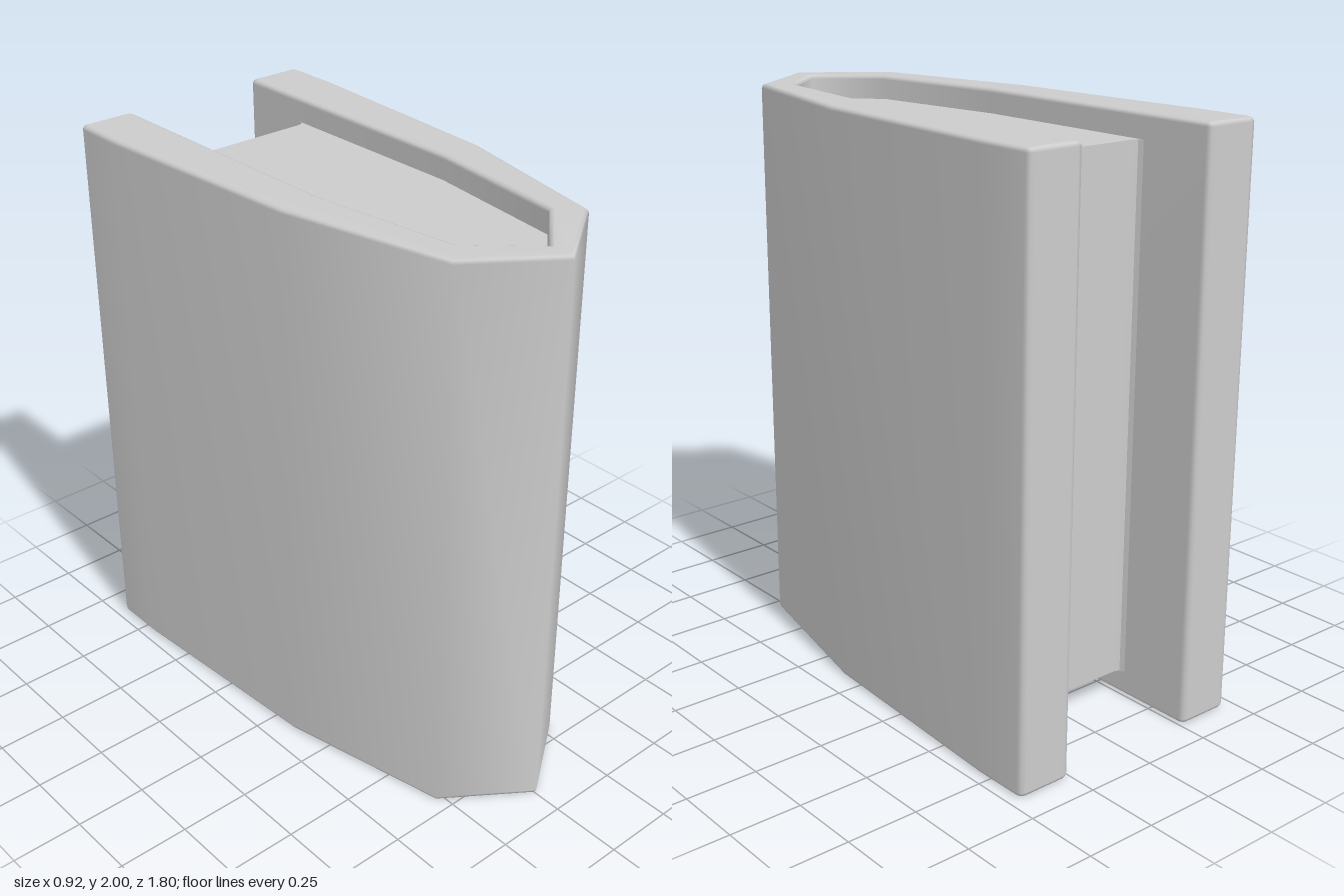
import * as THREE from 'three';
import { mergeVertices } from 'three/addons/utils/BufferGeometryUtils.js';

const HEIGHT = 2, BEVEL = 0.015, RECESS = 0.085;

// Closed plan outline from [x, z] points
const plan = (points) => new THREE.Shape(points.map(([x, z]) => new THREE.Vector2(x, -z)));

// Mirror a half outline: right side reversed, then left side
const mirrorX = (points) => points.map(([x, z]) => [-x, z]).reverse();

// Stand an extruded plan upright between y0 and y1
function upright(shape, y0, y1, bevel) {
  const geometry = new THREE.ExtrudeGeometry(shape, {
    depth: y1 - y0 - 2 * bevel,
    bevelEnabled: bevel > 0,
    bevelSize: bevel,
    bevelThickness: bevel,
    bevelOffset: -bevel,
    bevelSegments: 2,
  });
  geometry.rotateX(-Math.PI / 2);
  geometry.translate(0, y0 + bevel, 0);
  return geometry;
}

// Area-weighted smooth normals: large faces stay flat, bevels roll over
function smooth(geometry) {
  geometry.deleteAttribute('normal');
  geometry.deleteAttribute('uv');
  const merged = mergeVertices(geometry, 1e-4);
  merged.computeVertexNormals();
  return merged;
}

export function createModel() {
  const group = new THREE.Group();
  group.name = 'pointedShellBlock';
  const material = new THREE.MeshStandardMaterial({ color: 0xcccccc });
  const add = (name, geometry) => {
    const mesh = new THREE.Mesh(geometry, material);
    mesh.name = name;
    group.add(mesh);
  };

  // Outer wall: pointed prow in front, two arms at the back
  const outerSide = [[0.28, 0.7], [0.41, 0.1], [0.46, -0.7], [0.46, -0.88], [0.453, -0.895], [0.438, -0.9]];
  const innerSide = [[0.28, -0.9], [0.265, -0.895], [0.258, -0.88], [0.258, 0.1], [0.192, 0.62]];
  const half = [...outerSide, ...innerSide];
  const shell = plan([[0, 0.9], ...half, [0, 0.8], ...mirrorX(half)]);
  add('shell', smooth(upright(shell, 0, HEIGHT, BEVEL)));

  // Recessed core filling the shell, its back set in between the arms
  const coreSide = [[0.2, 0.625], [0.27, 0.1], [0.27, -0.625], [0.258, -0.625], [0.252, -0.607], [0.235, -0.6]];
  const core = plan([[0, 0.81], ...coreSide, ...mirrorX(coreSide)]);
  add('core', upright(core, RECESS, HEIGHT - RECESS, 0));

  return group;
}
